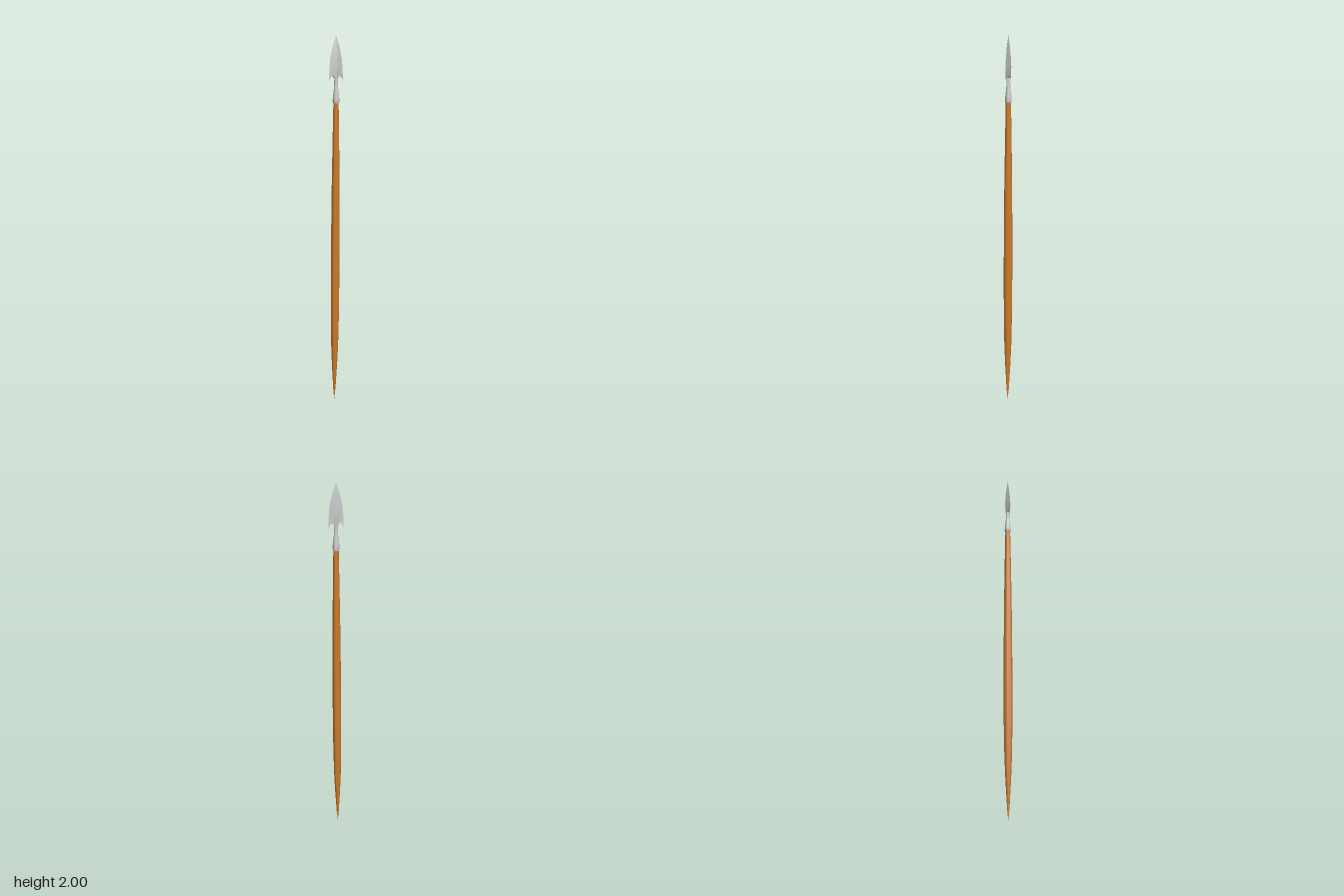
import * as THREE from 'three';
import { toCreasedNormals } from 'three/addons/utils/BufferGeometryUtils.js';

const wood = new THREE.MeshStandardMaterial({ color: 0xcc7a2a });
const metal = new THREE.MeshStandardMaterial({ color: 0xcccccc });

function lathe(points, sides) {
  return new THREE.LatheGeometry(points.map(([r, y]) => new THREE.Vector2(r, y)), sides);
}

// Piecewise-linear lookup in a list of [position, value] pairs
function sample(table, t) {
  for (let i = 1; i < table.length; i++) {
    const [a, va] = table[i - 1], [b, vb] = table[i];
    if (t <= b) return va + (vb - va) * (t - a) / (b - a);
  }
  return table[table.length - 1][1];
}

// Barbed blade: closed lens sections lofted from the notched base to the tip
function bladeGeometry() {
  const width = [[0, 0.04], [0.25, 0.038], [0.5, 0.033], [0.75, 0.02], [1, 0]];
  const depth = [[0, 0.012], [0.25, 0.0165], [0.5, 0.0135], [0.75, 0.0075], [1, 0]];
  const base = [[0, 1.78], [0.3, 1.785], [0.5, 1.8], [0.75, 1.79], [1, 1.767]];
  const half = 12, ring = half * 2, rows = 12;
  const positions = [], index = [];
  for (let r = 0; r <= rows; r++) {
    const v = r / rows;
    for (let k = 0; k < ring; k++) {
      const front = k <= half;
      const u = front ? -1 + 2 * k / half : 3 - 2 * k / half;
      const edge = Math.abs(u);
      positions.push(
        u * sample(width, v),
        THREE.MathUtils.lerp(sample(base, edge), 2, v),
        (front ? 1 : -1) * sample(depth, v) * Math.pow(1 - edge, 1.15));
    }
  }
  for (let r = 0; r < rows; r++) {
    for (let k = 0; k < ring; k++) {
      const a = r * ring + k, b = r * ring + (k + 1) % ring;
      index.push(a, b, b + ring);
      if (r < rows - 1) index.push(a, b + ring, a + ring);
    }
  }
  // Underside joins the front and back edges of the first section
  for (let k = 0; k < half; k++) {
    const a = k, b = k + 1, c = ring - k - 1, d = (ring - k) % ring;
    if (b !== c) index.push(a, c, b);
    if (a !== d) index.push(a, d, c);
  }
  const geometry = new THREE.BufferGeometry();
  geometry.setAttribute('position', new THREE.Float32BufferAttribute(positions, 3));
  geometry.setIndex(index);
  return toCreasedNormals(geometry, 0.6);
}

export function createModel() {
  const group = new THREE.Group();
  const add = (name, geometry, material) => {
    const mesh = new THREE.Mesh(geometry, material);
    mesh.name = name;
    group.add(mesh);
  };

  // Swelling shaft with a pointed butt, leaning slightly toward its foot
  const shaft = lathe([[0, 0], [0.006, 0.06], [0.014, 0.2], [0.0195, 0.33], [0.0225, 0.5],
    [0.0235, 0.75], [0.0225, 1.0], [0.021, 1.2], [0.0175, 1.45], [0.0135, 1.67], [0, 1.67]], 16);
  const p = shaft.attributes.position;
  for (let i = 0; i < p.count; i++) {
    p.setX(i, p.getX(i) - 0.011 * Math.pow(1 - p.getY(i) / 1.67, 1.2));
  }
  shaft.computeVertexNormals();
  add('shaft', toCreasedNormals(shaft, 0.8), wood);

  // Flared socket gripping the shaft and running up into the blade
  const socket = lathe([[0, 1.652], [0.015, 1.653], [0.0175, 1.662], [0.0165, 1.685],
    [0.012, 1.72], [0.0095, 1.755], [0.009, 1.79], [0.006, 1.83], [0, 1.85]], 16);
  add('socket', toCreasedNormals(socket, 0.8), metal);

  add('blade', bladeGeometry(), metal);
  return group;
}
